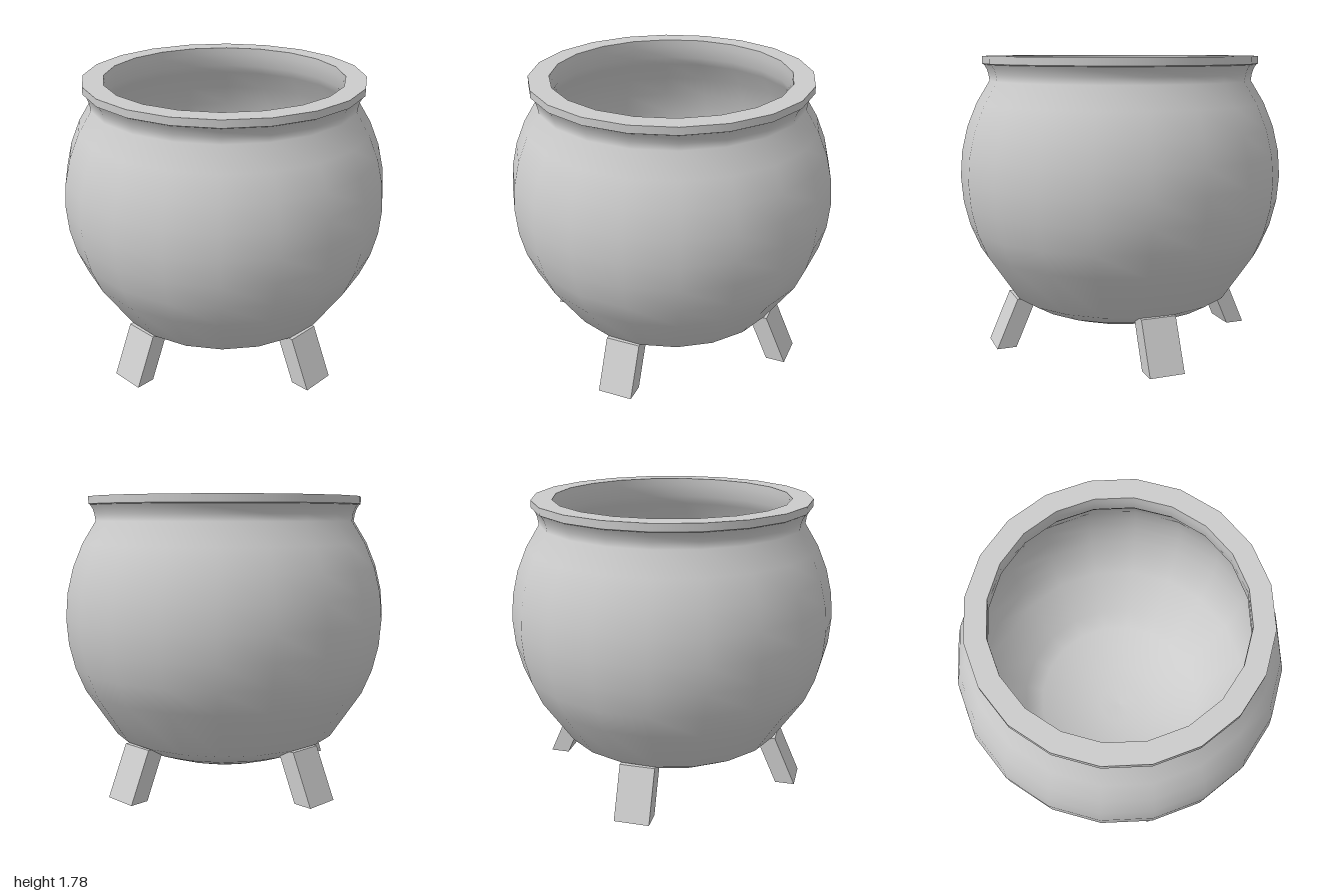
import * as THREE from 'three';

const SIDES = 20;
const CENTRE_Y = 1.05;

// Points on a circle in the profile plane, between two latitudes in degrees
function arc(radius, from, to, steps) {
  const pts = [];
  for (let i = 0; i <= steps; i++) {
    const a = THREE.MathUtils.degToRad(from + (to - from) * i / steps);
    pts.push([radius * Math.cos(a), CENTRE_Y + radius * Math.sin(a)]);
  }
  return pts;
}

export function createModel() {
  const group = new THREE.Group();
  group.name = 'cauldron';
  const material = new THREE.MeshStandardMaterial({ color: 0xcccccc });

  function lathe(name, profile) {
    const pts = profile.map(([r, y]) => new THREE.Vector2(r, y));
    const mesh = new THREE.Mesh(new THREE.LatheGeometry(pts, SIDES), material);
    mesh.name = name;
    group.add(mesh);
  }

  // Round belly with a shallow bottom and a flared neck
  lathe('belly', [
    [0, 0.11], [0.16, 0.118], [0.31, 0.145], [0.45, 0.19], [0.58, 0.24], [0.70, 0.31],
    ...arc(1, -27, 36, 7),
    [0.815, 1.68], [0.825, 1.71], [0.84, 1.735],
  ]);

  // Lip: underside, band and flat top, each with sharp edges
  lathe('lipUnderside', [[0.84, 1.735], [0.85, 1.74]]);
  lathe('lipBand', [[0.85, 1.74], [0.85, 1.785]]);
  lathe('lipTop', [[0.85, 1.785], [0.725, 1.785]]);

  // Hollow inside, running from the lip down to the floor
  lathe('inside', [
    [0.725, 1.785], [0.725, 1.74], [0.735, 1.66],
    ...arc(0.945, 36, -27, 7),
    [0.66, 0.36], [0.55, 0.295], [0.42, 0.24], [0.28, 0.195], [0.14, 0.172], [0, 0.165],
  ]);

  // Four splayed legs: boxes whose upper end leans in toward the belly
  const HEIGHT = 0.305;
  const legGeometry = new THREE.BoxGeometry(0.215, HEIGHT, 0.12);
  legGeometry.translate(0, HEIGHT / 2, 0);
  const pos = legGeometry.attributes.position;
  for (let i = 0; i < pos.count; i++) {
    pos.setZ(i, pos.getZ(i) - 0.44 * pos.getY(i));
  }
  legGeometry.computeVertexNormals();

  for (let i = 0; i < 4; i++) {
    const pivot = new THREE.Group();
    pivot.name = 'leg' + (i + 1);
    pivot.rotation.y = i * Math.PI / 2;
    const leg = new THREE.Mesh(legGeometry, material);
    leg.name = 'legBlock';
    leg.position.set(-0.125, 0, 0.77);
    leg.rotation.y = THREE.MathUtils.degToRad(-7);
    pivot.add(leg);
    group.add(pivot);
  }
  return group;
}
